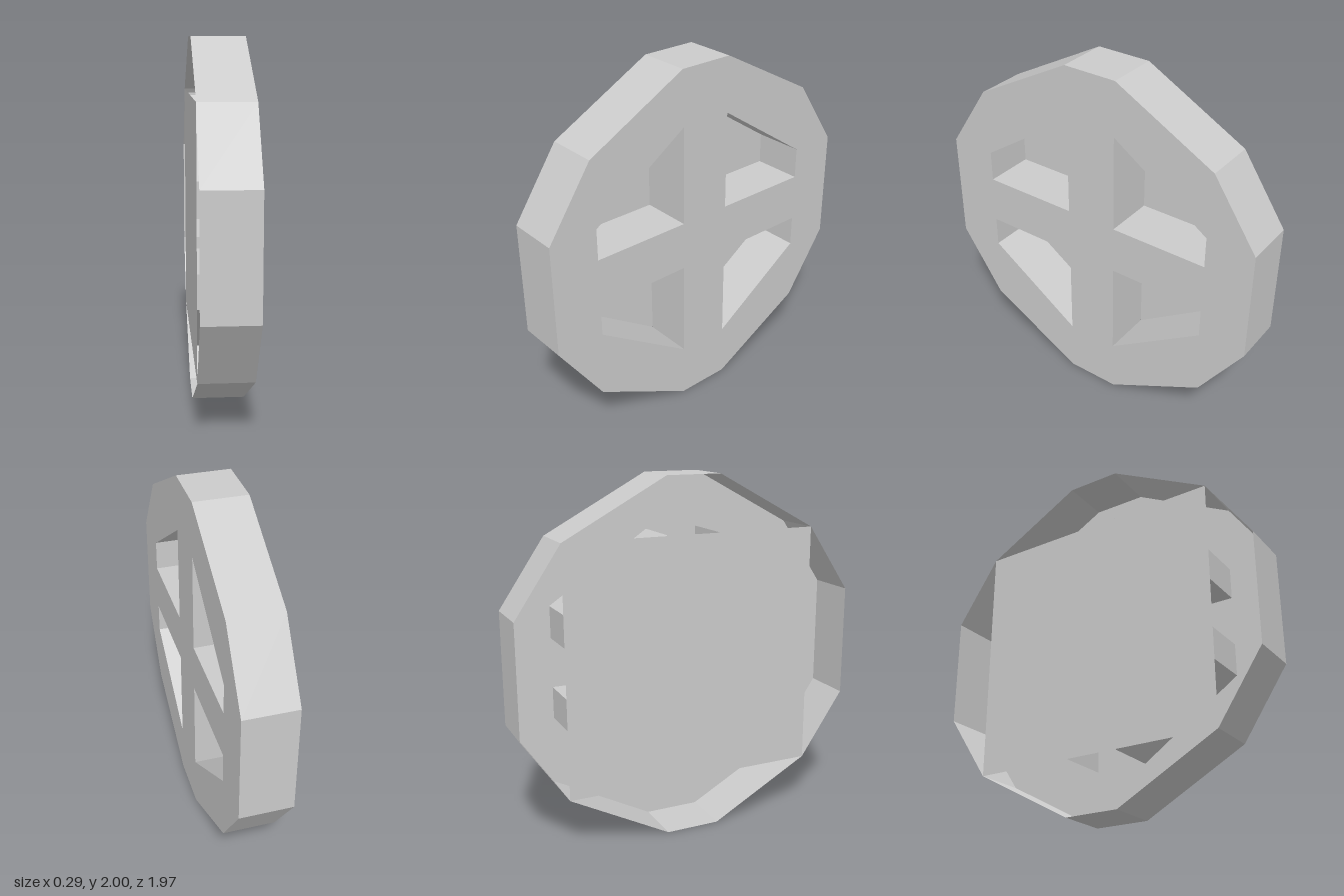
import * as THREE from 'three';

const HALF = 0.145; // half the wheel's thickness
const MID = 1;      // height of the hub

const material = new THREE.MeshStandardMaterial({
  color: 0xcccccc, flatShading: true, side: THREE.DoubleSide,
});

// Band of flat quads along a closed outline, spanning the thickness
function wallGeometry(points) {
  const pos = [];
  points.forEach((a, i) => {
    const b = points[(i + 1) % points.length];
    pos.push(a.x, a.y, HALF, a.x, a.y, -HALF, b.x, b.y, -HALF);
    pos.push(a.x, a.y, HALF, b.x, b.y, -HALF, b.x, b.y, HALF);
  });
  const g = new THREE.BufferGeometry();
  g.setAttribute('position', new THREE.Float32BufferAttribute(pos, 3));
  g.computeVertexNormals();
  return g;
}

// Mirror a list of quarter points into one quadrant, keeping the winding
function quadrant(points, sx, sy) {
  const out = points.map(([x, y]) => new THREE.Vector2(x * sx, y * sy));
  return sx * sy < 0 ? out.reverse() : out;
}

export function createModel() {
  const wheel = new THREE.Group();
  wheel.name = 'wheel';
  const add = (name, geometry) => {
    const mesh = new THREE.Mesh(geometry, material);
    mesh.name = name;
    wheel.add(mesh);
  };

  // Twelve-sided rim outline and one spoke opening, as quarter profiles
  const rimQuarter = [[0.985, 0.315], [0.73, 0.69], [0.155, 1]];
  const holeQuarter = [[0.15, 0.138], [0.15, 0.693], [0.713, 0.315], [0.713, 0.138]];
  const signs = [[1, 1], [-1, 1], [-1, -1], [1, -1]];

  const outline = signs.flatMap(([sx, sy]) => quadrant(rimQuarter, sx, sy));
  const holes = signs.map(([sx, sy]) => quadrant(holeQuarter, sx, sy));

  // Outer face with four openings between the spokes
  const face = new THREE.Shape(outline);
  face.holes = holes.map((h) => new THREE.Path(h));
  add('spokedFace', new THREE.ShapeGeometry(face).translate(0, 0, HALF));

  // Tread around the rim and the walls of the openings
  add('tread', wallGeometry(outline));
  holes.forEach((h, i) => add(`openingWall${i + 1}`, wallGeometry(h)));

  // Rectangular plate on the inner side, leaving the rim edge open
  add('backPlate', new THREE.PlaneGeometry(1.46, 1.38).rotateY(Math.PI).translate(0, 0, -HALF));

  // Turn the axle along x and stand the wheel on the ground
  wheel.rotation.y = Math.PI / 2;
  wheel.position.y = MID;

  const model = new THREE.Group();
  model.name = 'model';
  model.add(wheel);
  return model;
}
